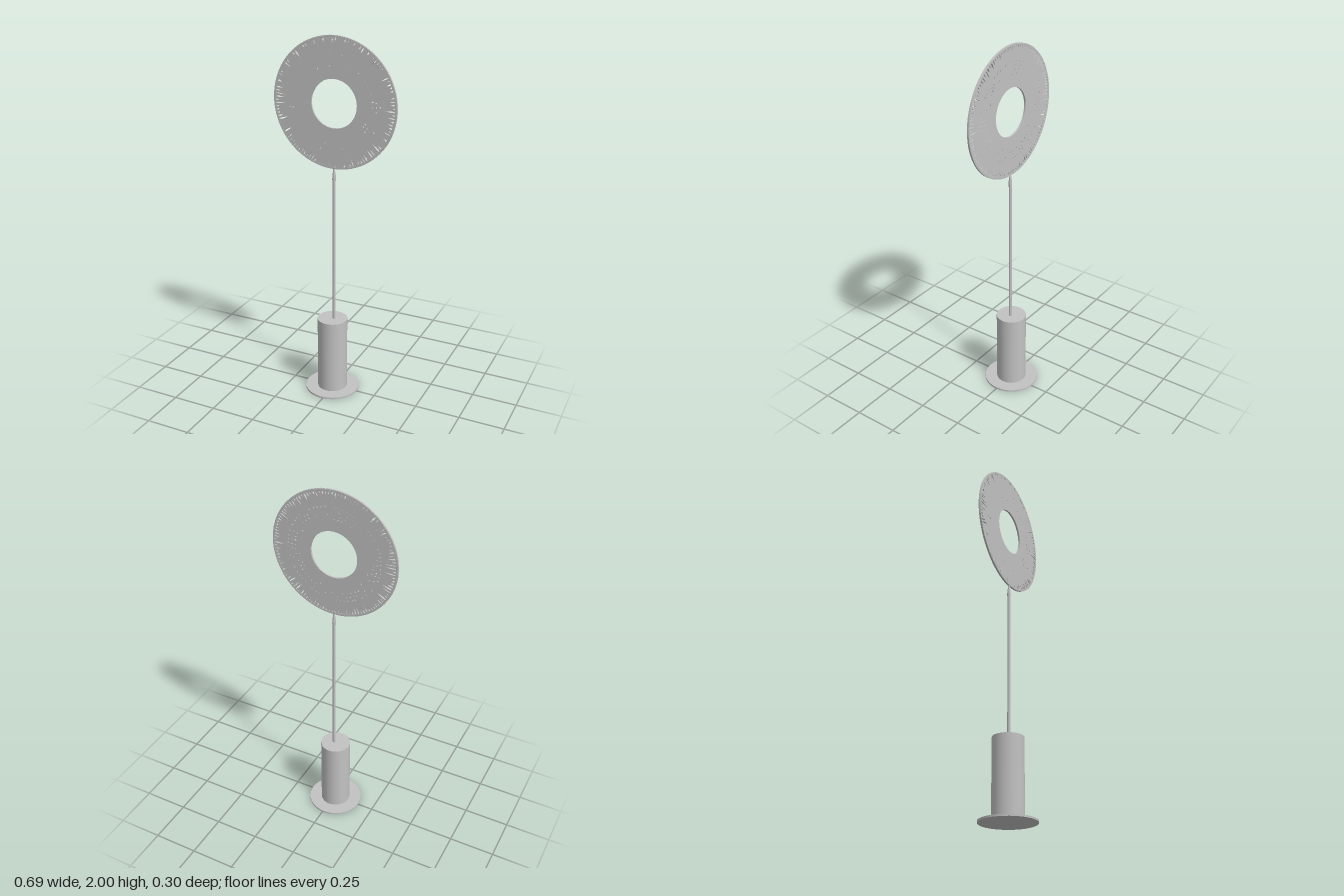
import * as THREE from 'three';

const RING_Y = 1.655, OUTER = 0.345, INNER = 0.128, RIM = 0.334;

// Small seeded generator for the irregular perforations
function makeRandom(seed) {
  return () => {
    seed = (seed * 16807) % 2147483647;
    return seed / 2147483647;
  };
}

// Radial hole: a narrow lens from radius r0 to r1 at angle a
function radialHole(a, r0, r1, halfWidth) {
  const u = new THREE.Vector2(Math.cos(a), Math.sin(a));
  const v = new THREE.Vector2(-u.y, u.x);
  const at = (r, w) => u.clone().multiplyScalar(r).addScaledVector(v, w);
  const mid = r0 + (r1 - r0) * 0.65;
  return new THREE.Path([at(r0, 0), at(mid, halfWidth), at(r1, halfWidth * 0.6),
    at(r1, -halfWidth * 0.6), at(mid, -halfWidth)]);
}

// One layer of the ring, with its holes
function ringLayer(holes, depth, z, material, name) {
  const shape = new THREE.Shape();
  shape.absarc(0, 0, OUTER, 0, Math.PI * 2);
  const opening = new THREE.Path();
  opening.absarc(0, 0, INNER, 0, Math.PI * 2, true);
  shape.holes.push(opening, ...holes);
  const geometry = new THREE.ExtrudeGeometry(shape, { depth, bevelEnabled: false, curveSegments: 72 });
  const mesh = new THREE.Mesh(geometry, material);
  mesh.name = name;
  mesh.position.set(0, RING_Y, z);
  return mesh;
}

export function createModel() {
  const model = new THREE.Group();
  model.name = 'ringSculpture';
  const metal = new THREE.MeshStandardMaterial({ color: 0xc2c2c2 });
  metal.name = 'grey metal';
  const random = makeRandom(4217);

  const add = (geometry, name, x, y) => {
    const mesh = new THREE.Mesh(geometry, metal);
    mesh.name = name;
    mesh.position.set(x, y, 0);
    model.add(mesh);
  };

  // Round foot plate and pedestal, set slightly off the pole axis
  add(new THREE.CylinderGeometry(0.151, 0.151, 0.01, 48), 'footPlate', -0.01, 0.005);
  add(new THREE.CylinderGeometry(0.083, 0.083, 0.425, 40), 'pedestal', -0.01, 0.2225);

  // Pole with a small collar tapering into the ring
  add(new THREE.LatheGeometry([[0, 0.43], [0.009, 0.43], [0.008, 1.24], [0.01, 1.25],
    [0.009, 1.275], [0.005, 1.3], [0.004, 1.32], [0, 1.32]]
    .map(([x, y]) => new THREE.Vector2(x, y)), 16), 'pole', 0, 0);

  // Slits around the rim, longest and densest at the two sides
  const through = [], pits = [];
  const slots = 120;
  for (let i = 0; i < slots; i++) {
    const a = (i + 0.5) / slots * Math.PI * 2;
    const side = Math.abs(Math.cos(a));
    const length = 0.012 + random() * random() * (0.025 + 0.035 * side);
    const halfWidth = 0.002 + random() * 0.003;
    if (random() < 0.45 + 0.35 * side) through.push(radialHole(a, RIM - length, RIM, halfWidth));
    else pits.push(radialHole(a, RIM - length, RIM, halfWidth));
  }

  // Scattered small marks inside the rim: a few go through, the rest pit the back
  for (const r of [0.195, 0.215, 0.235, 0.255]) {
    const count = Math.round(r * 270);
    for (let i = 0; i < count; i++) {
      const a = (i + random() * 0.4) / count * Math.PI * 2;
      const hole = radialHole(a, r - 0.006, r + 0.002 + random() * 0.004, 0.0015 + random() * 0.002);
      const chance = random();
      if (chance < 0.1) through.push(hole);
      else if (chance < 0.25 + (r - 0.195) * 7) pits.push(hole);
    }
  }

  // Ring in two layers, so the back shows shallow pits
  model.add(ringLayer(through, 0.005, 0, metal, 'ringFront'));
  model.add(ringLayer([...through, ...pits], 0.005, -0.005, metal, 'ringBack'));

  // Raised bead along the outer edge
  add(new THREE.TorusGeometry(OUTER - 0.004, 0.006, 8, 96), 'ringEdge', 0, RING_Y);
  model.getObjectByName('ringEdge').scale.setScalar(0.345 / 0.347);

  return model;
}
